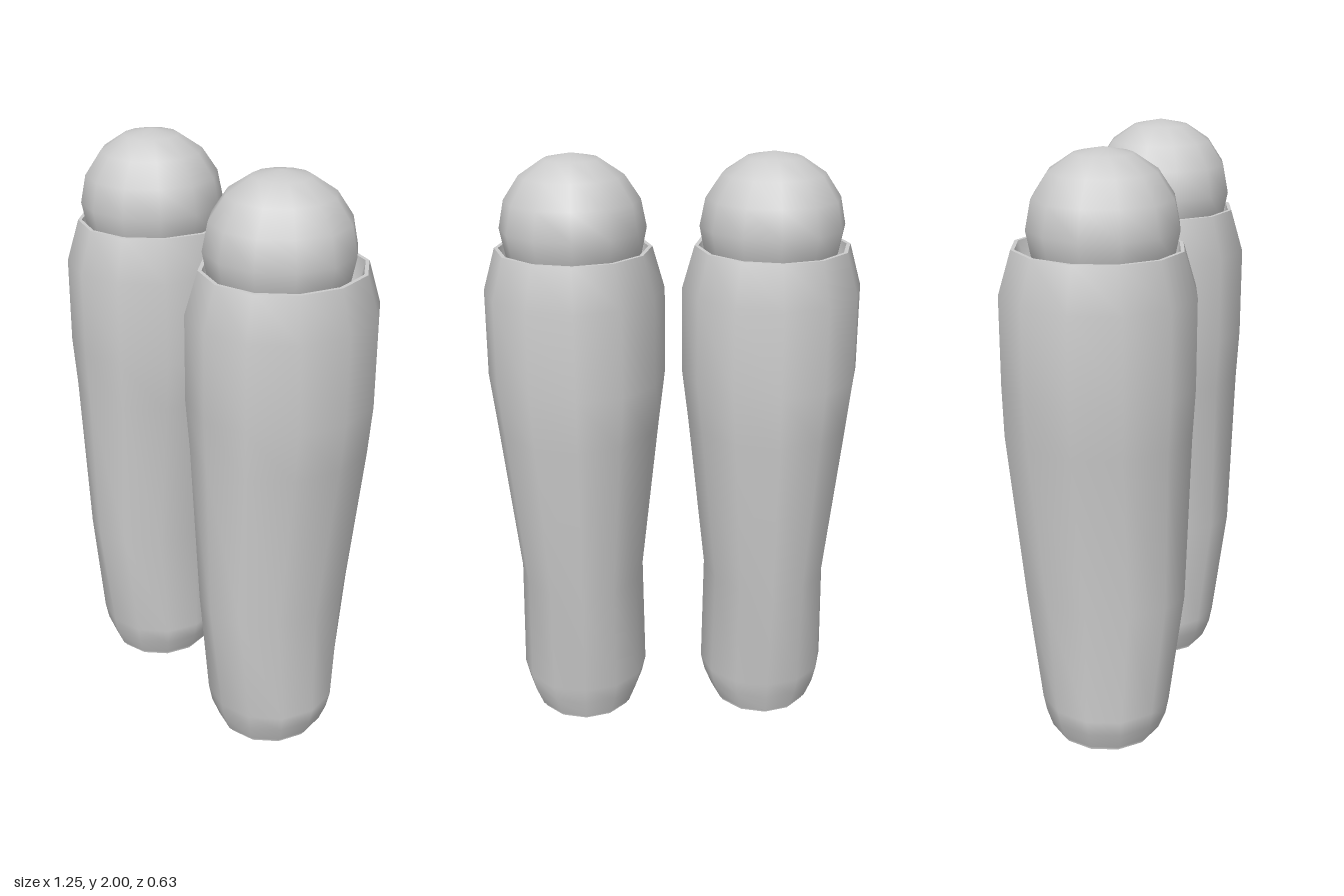
import * as THREE from 'three';

const SIDES = 12;
const material = new THREE.MeshStandardMaterial({ color: 0xcccccc });

// Skin a stack of elliptical rings, each [y, half width, centre z, half depth]
function loft(name, rings) {
  const positions = [], index = [];
  for (const [y, rx, zc, rz] of rings) {
    for (let j = 0; j < SIDES; j++) {
      const a = (j / SIDES) * Math.PI * 2;
      positions.push(Math.sin(a) * rx, y, zc + Math.cos(a) * rz);
    }
  }
  for (let i = 0; i < rings.length - 1; i++) {
    for (let j = 0; j < SIDES; j++) {
      const k = (j + 1) % SIDES;
      const a = i * SIDES + j, b = i * SIDES + k;
      index.push(a, b, a + SIDES, b, b + SIDES, a + SIDES);
    }
  }
  const geometry = new THREE.BufferGeometry();
  geometry.setAttribute('position', new THREE.Float32BufferAttribute(positions, 3));
  geometry.setIndex(index);
  geometry.computeVertexNormals();
  const mesh = new THREE.Mesh(geometry, material);
  mesh.name = name;
  return mesh;
}

function createLeg(name) {
  const leg = new THREE.Group();
  leg.name = name;

  // Outer shell, from the rounded lower end up to the chamfered top
  leg.add(loft('shell', [
    [0.015, 0.18, 0.015, 0.19],
    [0.08, 0.208, 0.018, 0.212],
    [0.14, 0.222, 0.018, 0.223],
    [0.54, 0.215, 0.013, 0.277],
    [1.1, 0.276, -0.004, 0.31],
    [1.27, 0.297, 0, 0.315],
    [1.56, 0.297, 0, 0.315],
    [1.7, 0.257, 0, 0.272],
  ]));

  // Flat top rim and the socket holding the ball
  leg.add(loft('topRim', [
    [1.7, 0.257, 0, 0.272],
    [1.7, 0.244, 0, 0.26],
  ]));
  leg.add(loft('socket', [
    [1.7, 0.244, 0, 0.26],
    [1.6, 0.225, 0.005, 0.235],
    [1.53, 0.14, 0.015, 0.14],
    [1.5, 0.001, 0.018, 0.001],
  ]));

  // Ball joint
  const ball = new THREE.Mesh(new THREE.SphereGeometry(0.24, SIDES, 8), material);
  ball.name = 'ballJoint';
  ball.rotation.y = Math.PI / 2;
  ball.position.set(0, 1.76, 0.018);
  leg.add(ball);

  // Lower lip, its underside and the hollow inside it
  leg.add(loft('lowerLip', [
    [0, 0.17, 0.015, 0.178],
    [0.015, 0.17, 0.015, 0.178],
    [0.015, 0.18, 0.015, 0.19],
  ]));
  leg.add(loft('lowerRim', [
    [0, 0.155, 0.015, 0.163],
    [0, 0.17, 0.015, 0.178],
  ]));
  leg.add(loft('lowerHollow', [
    [0.16, 0.001, 0.015, 0.001],
    [0.14, 0.08, 0.015, 0.084],
    [0.08, 0.135, 0.015, 0.142],
    [0, 0.155, 0.015, 0.163],
  ]));
  return leg;
}

export function createModel() {
  const model = new THREE.Group();
  model.name = 'legPair';
  for (const [name, x] of [['leftLeg', 0.326], ['rightLeg', -0.326]]) {
    const leg = createLeg(name);
    leg.position.x = x;
    model.add(leg);
  }
  return model;
}
